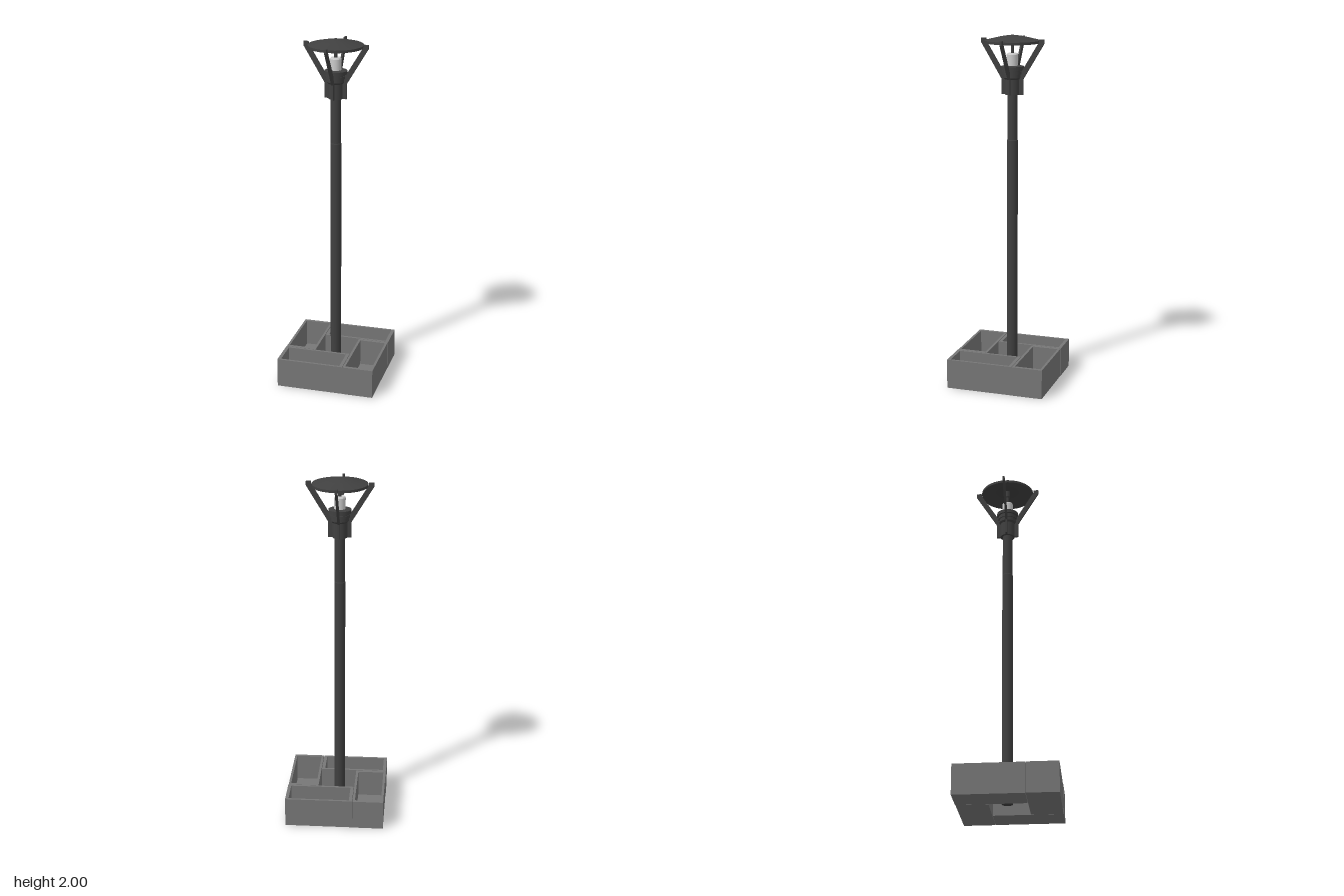
import * as THREE from 'three';

const mat = (color) => new THREE.MeshStandardMaterial({ color, side: THREE.DoubleSide });
const dark = mat(0x404040);
const stone = mat(0x777777);
const glass = mat(0xcccccc);

function add(parent, name, geometry, material) {
  const mesh = new THREE.Mesh(geometry, material);
  mesh.name = name;
  parent.add(mesh);
  return mesh;
}

// Lathe with hard edges: every profile segment gets its own normals
function turned(parent, name, points, material, sides = 40) {
  const group = new THREE.Group();
  group.name = name;
  for (let i = 0; i < points.length - 1; i++) {
    const pair = [points[i], points[i + 1]].map(([r, y]) => new THREE.Vector2(r, y));
    add(group, name + 'Band', new THREE.LatheGeometry(pair, sides), material);
  }
  parent.add(group);
  return group;
}

function rectangle(path, w, d) {
  path.moveTo(-w / 2, -d / 2);
  path.lineTo(w / 2, -d / 2);
  path.lineTo(w / 2, d / 2);
  path.lineTo(-w / 2, d / 2);
  path.closePath();
  return path;
}

// Open trough with a floor
function planter() {
  const w = 0.387, d = 0.177, h = 0.17, floor = 0.015;
  const group = new THREE.Group();
  group.name = 'planter';
  const rim = rectangle(new THREE.Shape(), w, d);
  rim.holes.push(rectangle(new THREE.Path(), w - 0.038, d - 0.027));
  const walls = new THREE.ExtrudeGeometry(rim, { depth: h, bevelEnabled: false });
  walls.rotateX(-Math.PI / 2);
  add(group, 'planterWalls', walls, stone);
  const base = new THREE.BoxGeometry(w - 0.038, floor, d - 0.027);
  add(group, 'planterFloor', base.translate(0, floor / 2, 0), stone);
  return group;
}

// Bent flat bracket that carries the cap, drawn along +x
function armGeometry() {
  const outline = [
    [0.036, 1.67], [0.064, 1.67], [0.064, 1.757], [0.186, 1.957],
    [0.186, 1.98], [0.158, 1.98], [0.158, 1.966], [0.056, 1.80], [0.036, 1.77],
  ];
  const shape = new THREE.Shape(outline.map(([x, y]) => new THREE.Vector2(x, y)));
  const geometry = new THREE.ExtrudeGeometry(shape, { depth: 0.011, bevelEnabled: false });
  return geometry.translate(0, 0, -0.0055);
}

export function createModel() {
  const model = new THREE.Group();
  model.name = 'planterLamp';

  // Four planters in a pinwheel around a square gap
  for (let i = 0; i < 4; i++) {
    const turn = new THREE.Group();
    turn.name = 'planterQuarter';
    const box = planter();
    box.position.set(-0.0905, 0, 0.194);
    turn.add(box);
    turn.rotation.y = i * Math.PI / 2;
    model.add(turn);
  }

  const lamp = new THREE.Group();
  lamp.name = 'lamp';
  lamp.position.set(-0.013, 0, -0.013);
  lamp.rotation.y = -0.045;
  model.add(lamp);

  // Pole with a small step near the top
  turned(lamp, 'pole', [
    [0, 0.025], [0.031, 0.025], [0.031, 1.41], [0.029, 1.415], [0.029, 1.68],
  ], dark, 24);

  // Lamp socket with stacked rings
  turned(lamp, 'socket', [
    [0.028, 1.67], [0.042, 1.67], [0.042, 1.755], [0.05, 1.765], [0.05, 1.785],
    [0.056, 1.785], [0.056, 1.8], [0.053, 1.8], [0.053, 1.808], [0.063, 1.808],
    [0.063, 1.828], [0.03, 1.832], [0, 1.832],
  ], dark);

  // Bulb and the stem up to the cap
  turned(lamp, 'bulb', [
    [0.032, 1.83], [0.032, 1.893], [0.027, 1.9], [0, 1.9],
  ], glass, 24);
  turned(lamp, 'stem', [
    [0, 1.895], [0.009, 1.895], [0.009, 1.94], [0.014, 1.95], [0.014, 1.985],
  ], dark, 16);

  // Shallow dished cap
  turned(lamp, 'cap', [
    [0, 2], [0.022, 1.999], [0.07, 1.991], [0.154, 1.971], [0.154, 1.957],
    [0.148, 1.957], [0.068, 1.981], [0, 1.988],
  ], dark, 48);

  // Four arms
  const arm = armGeometry();
  for (let i = 0; i < 4; i++) {
    add(lamp, 'arm', arm, dark).rotation.y = i * Math.PI / 2;
  }

  return model;
}
